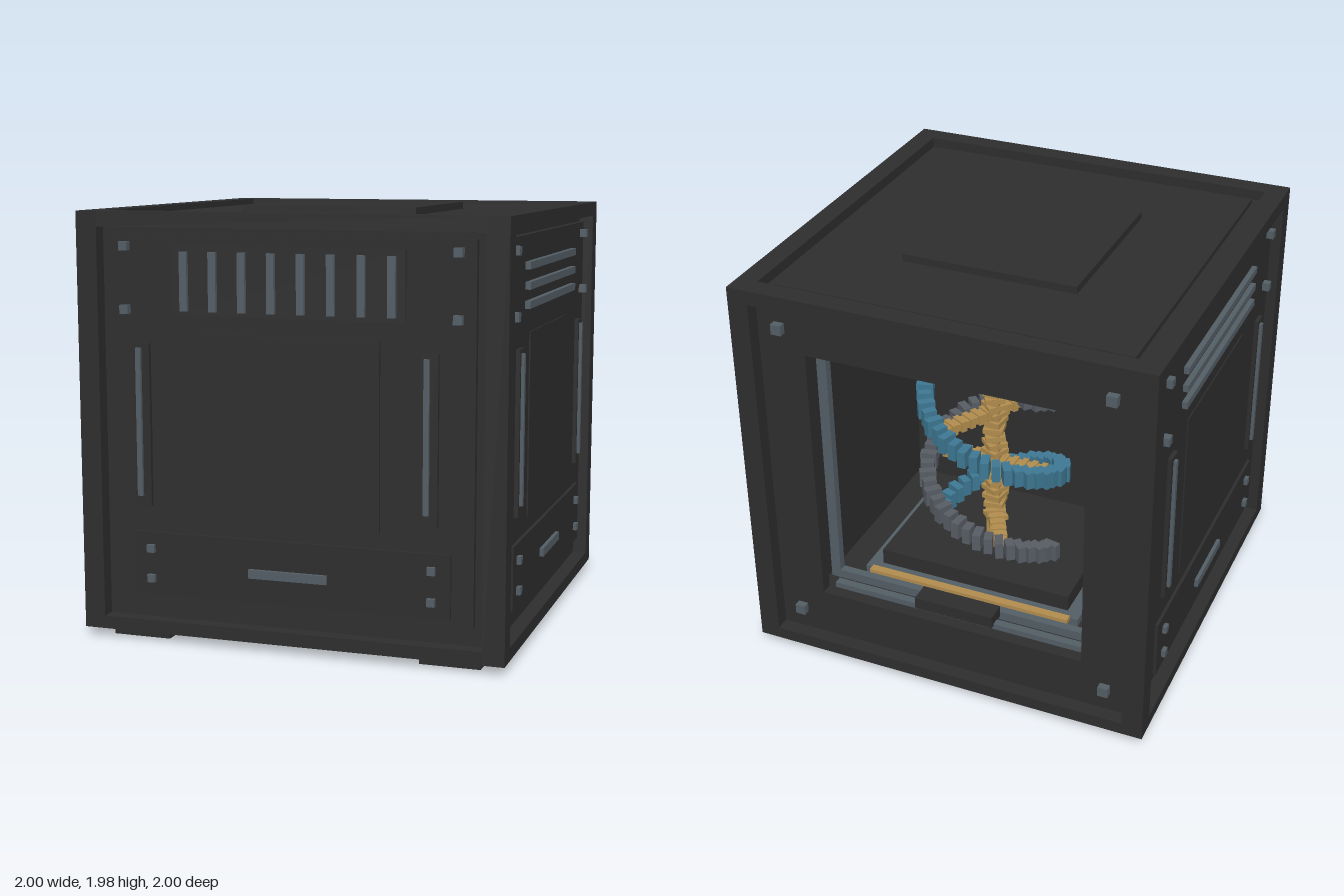
import * as THREE from 'three';

const mat = (name, color) => {
  const m = new THREE.MeshStandardMaterial({ color });
  m.name = name;
  return m;
};

export function createModel() {
  const model = new THREE.Group();
  model.name = 'helixChamber';
  const body = mat('charcoal', 0x2d2d2d);
  const metal = mat('steelGrey', 0x535d65);
  const blue = mat('strandBlue', 0x3d7792);
  const grey = mat('strandGrey', 0x575c64);
  const gold = mat('gold', 0xb08c4d);

  const group = (name, parent = model) => {
    const g = new THREE.Group();
    g.name = name;
    parent.add(g);
    return g;
  };
  // box given by its limits on each axis
  const box = (parent, name, m, x0, x1, y0, y1, z0, z1) => {
    const mesh = new THREE.Mesh(new THREE.BoxGeometry(x1 - x0, y1 - y0, z1 - z0), m);
    mesh.position.set((x0 + x1) / 2, (y0 + y1) / 2, (z0 + z1) / 2);
    mesh.name = name;
    parent.add(mesh);
    return mesh;
  };

  // outer frame of twelve beams
  const frame = group('frame');
  for (const s of [-1, 1]) {
    for (const t of [-1, 1]) {
      const [x0, x1] = s < 0 ? [-1, -0.9] : [0.9, 1];
      const [z0, z1] = t < 0 ? [-1, -0.9] : [0.9, 1];
      box(frame, 'post', body, x0, x1, 0.04, 1.97, z0, z1);
    }
    for (const [y0, y1] of [[0.04, 0.1], [1.9, 1.97]]) {
      const [a, b] = s < 0 ? [-1, -0.9] : [0.9, 1];
      box(frame, 'crossBeam', body, -0.9, 0.9, y0, y1, a, b);
      box(frame, 'sideBeam', body, a, b, y0, y1, -0.9, 0.9);
    }
  }

  // roof, floor and feet
  const caps = group('roofAndFloor');
  box(caps, 'roofBase', body, -0.9, 0.9, 1.88, 1.92, -0.9, 0.9);
  box(caps, 'roofPanel', body, -0.85, 0.85, 1.91, 1.945, -0.85, 0.85);
  box(caps, 'roofPlate', body, -0.425, 0.425, 1.94, 1.98, -0.425, 0.425);
  box(caps, 'floorBase', body, -0.9, 0.9, 0.09, 0.13, -0.9, 0.9);
  box(caps, 'floorPanel', body, -0.85, 0.85, 0.065, 0.1, -0.85, 0.85);
  box(caps, 'floorPlate', body, -0.425, 0.425, 0.03, 0.07, -0.425, 0.425);
  for (const x of [-0.74, 0.74]) box(caps, 'foot', body, x - 0.14, x + 0.14, 0, 0.07, -0.94, 0.94);

  // closed faces, built facing +z and then turned
  const face = (name, turn, handles, isFront) => {
    const g = group(name);
    g.rotation.y = turn;
    box(g, 'recess', body, -0.9, 0.9, 0.1, 1.9, 0.88, 0.93);
    box(g, 'panel', body, -0.85, 0.85, 0.19, 1.87, 0.92, 0.96);
    box(g, 'centrePlate', body, -0.425, 0.425, 0.58, 1.43, 0.95, isFront ? 0.975 : 0.966);
    box(g, 'lowerPlate', body, -0.75, 0.75, 0.22, 0.51, 0.95, 0.975);
    box(g, 'lowerBar', metal, -0.185, 0.185, 0.335, 0.375, 0.96, 0.993);
    for (const s of [-1, 1]) {
      const bolt = (x, y, r) => box(g, 'bolt', metal, x - r, x + r, y - r, y + r, 0.95, 0.995);
      for (const y of [1.53, 1.815]) bolt(s * 0.775, y, 0.02);
      for (const y of [0.295, 0.435]) bolt(s * 0.665, y, 0.018);
    }
    for (const x of handles) {
      box(g, 'handlePlate', body, x - 0.04, x + 0.04, 0.63, 1.38, 0.95, 0.98);
      box(g, 'handleRail', metal, x - 0.022, x + 0.003, 0.68, 1.36, 0.97, 0.995);
    }
    if (isFront) {
      box(g, 'ventPlate', body, -0.54, 0.54, 1.51, 1.82, 0.95, 0.972);
      for (let i = 0; i < 8; i++) {
        const x = -0.484 + i * 0.138;
        box(g, 'ventSlat', metal, x - 0.018, x + 0.018, 1.53, 1.795, 0.96, 0.99);
      }
    } else {
      for (const y of [1.56, 1.645, 1.735])
        box(g, 'ventBar', metal, -0.525, 0.525, y - 0.017, y + 0.017, 0.95, 0.985);
    }
  };
  face('frontFace', 0, [-0.7, 0.65], true);
  face('sideFaceLeft', Math.PI / 2, [-0.65, 0.7], false);
  face('sideFaceRight', -Math.PI / 2, [-0.65, 0.7], false);

  // back panel with its square opening
  const rect = (path, x, y0, y1) =>
    path.moveTo(-x, y0).lineTo(x, y0).lineTo(x, y1).lineTo(-x, y1).closePath();
  const outline = rect(new THREE.Shape(), 0.9, 0.1, 1.9);
  outline.holes.push(rect(new THREE.Path(), 0.67, 0.34, 1.66));
  const backPanel = new THREE.Mesh(
    new THREE.ExtrudeGeometry(outline, { depth: 0.06, bevelEnabled: false }), body);
  backPanel.position.z = -0.93;
  backPanel.name = 'backPanel';
  model.add(backPanel);
  for (const x of [-0.79, 0.79])
    for (const y of [0.22, 1.78])
      box(model, 'backBolt', metal, x - 0.025, x + 0.025, y - 0.025, y + 0.025, -0.965, -0.92);

  // chamber lining
  const room = group('chamber');
  box(room, 'floor', body, -0.76, 0.76, 0.28, 0.33, -0.88, 0.3);
  box(room, 'ceiling', body, -0.76, 0.76, 1.68, 1.72, -0.88, 0.3);
  box(room, 'rearWall', body, -0.76, 0.76, 0.28, 1.72, 0.25, 0.3);
  for (const s of [-1, 1]) {
    box(room, 'wall', body, s * 0.74 - 0.02, s * 0.74 + 0.02, 0.28, 1.72, -0.88, 0.3);
    box(room, 'trimPost', metal, s * 0.68 - 0.025, s * 0.68 + 0.025, 0.33, 1.67, -0.78, -0.74);
  }
  box(room, 'trimTop', metal, -0.68, 0.68, 1.62, 1.66, -0.78, -0.74);
  box(room, 'trimBottom', metal, -0.68, 0.68, 0.33, 0.375, -0.78, -0.74);
  box(room, 'sill', metal, -0.64, 0.64, 0.33, 0.36, -0.86, -0.82);
  box(room, 'controlBox', body, -0.2, 0.2, 0.35, 0.41, -0.88, -0.78);
  box(room, 'goldStrip', gold, -0.52, 0.52, 0.36, 0.385, -0.73, -0.69);
  box(room, 'platformStep', metal, -0.56, 0.56, 0.33, 0.37, -0.69, 0.0);
  box(room, 'platform', body, -0.49, 0.49, 0.36, 0.45, -0.64, -0.04);
  box(room, 'lampBox', body, -0.42, 0.42, 1.56, 1.69, -0.6, -0.12);
  box(room, 'lampStrip', gold, -0.38, 0.38, 1.565, 1.6, -0.62, -0.59);

  // double helix of blocks, rising anticlockwise about its own axis
  const helix = group('doubleHelix');
  helix.position.z = -0.37;
  const pitch = 0.85, radius = 0.325, low = 0.54, high = 1.46;
  const angleAt = (y) => (-35 * Math.PI) / 180 + ((y - 1.28) / pitch) * Math.PI * 2;
  const count = 46;
  for (let i = 0; i < count; i++) {
    const y = low + ((high - low) * i) / (count - 1);
    [blue, grey].forEach((m, k) => {
      const a = angleAt(y) + k * Math.PI;
      const w = i % 2 ? 0.032 : 0.04;
      const b = box(helix, k ? 'greyStrand' : 'blueStrand', m, -w, w, -0.042, 0.042, -0.02, 0.02);
      b.position.set(Math.cos(a) * radius, y, Math.sin(a) * radius);
      b.rotation.y = -a;
    });
  }
  // rungs with raised teeth
  for (let y = 0.66; y < high; y += 0.28) {
    const rung = group('rung', helix);
    rung.position.y = y;
    rung.rotation.y = -angleAt(y);
    box(rung, 'rungBar', gold, -0.3, 0.3, -0.018, 0.018, -0.03, 0.03);
    for (let i = -5; i <= 5; i++)
      box(rung, 'rungTooth', gold, i * 0.05 - 0.014, i * 0.05 + 0.014, -0.026, 0.026, -0.038, 0.038);
  }
  // toothed central column
  box(helix, 'column', gold, -0.035, 0.035, 0.45, 1.5, -0.035, 0.035);
  for (let i = 0; i < 20; i++) {
    const y = 0.62 + i * 0.042;
    const tooth = box(helix, 'columnTooth', gold, -0.048, 0.048, y - 0.012, y + 0.012, -0.048, 0.048);
    tooth.rotation.y = -angleAt(y);
  }
  return model;
}
